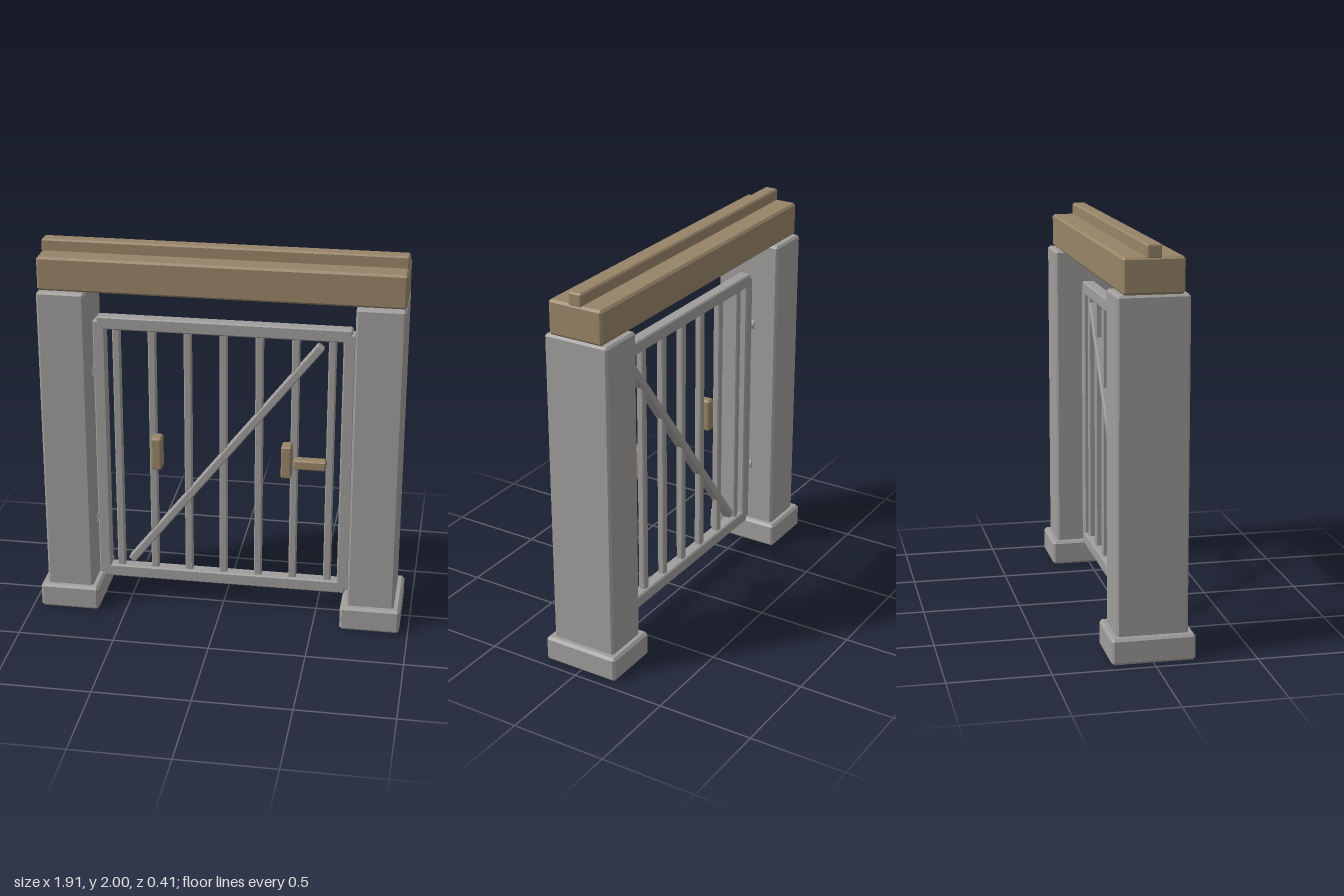
import * as THREE from 'three';
import { ConvexGeometry } from 'three/addons/geometries/ConvexGeometry.js';

// Box with chamfered edges, flat shaded
function chamferBox(w, h, d, b) {
  const pts = [];
  const [x, y, z] = [w / 2, h / 2, d / 2];
  for (const i of [-1, 1]) for (const j of [-1, 1]) for (const k of [-1, 1]) {
    pts.push(
      new THREE.Vector3(i * x, j * (y - b), k * (z - b)),
      new THREE.Vector3(i * (x - b), j * y, k * (z - b)),
      new THREE.Vector3(i * (x - b), j * (y - b), k * z)
    );
  }
  return new ConvexGeometry(pts);
}

export function createModel() {
  const model = new THREE.Group();
  model.name = 'gateway';
  const stone = new THREE.MeshStandardMaterial({ name: 'grey', color: 0x9e9d9b });
  const wood = new THREE.MeshStandardMaterial({ name: 'brown wood', color: 0x978468 });

  function add(parent, name, geometry, material, x, y, z) {
    const mesh = new THREE.Mesh(geometry, material);
    mesh.name = name;
    mesh.position.set(x, y, z);
    parent.add(mesh);
    return mesh;
  }
  // Box given by its limits on each axis
  function block(parent, name, material, [x0, x1], [y0, y1], [z0, z1], bevel) {
    return add(parent, name, chamferBox(x1 - x0, y1 - y0, z1 - z0, bevel), material,
      (x0 + x1) / 2, (y0 + y1) / 2, (z0 + z1) / 2);
  }

  // Posts on their plinths
  for (const [side, s] of [['left', 1], ['right', -1]]) {
    const post = new THREE.Group();
    post.name = side + 'Post';
    post.position.x = s * 0.799;
    model.add(post);
    block(post, 'plinth', stone, [-0.156, 0.156], [0, 0.132], [-0.206, 0.206], 0.013);
    block(post, 'shaft', stone, [-0.122, 0.122], [0.12, 1.766], [-0.175, 0.175], 0.011);
  }

  // Lintel with a ridge along its top
  block(model, 'lintel', wood, [-0.92, 0.92], [1.766, 1.94], [-0.148, 0.148], 0.011);
  block(model, 'lintelRidge', wood, [-0.918, 0.918], [1.93, 2], [-0.037, 0.037], 0.008);

  // Gate frame
  const gate = new THREE.Group();
  gate.name = 'gate';
  model.add(gate);
  const depth = [-0.033, 0.033];
  block(gate, 'topRail', stone, [-0.652, 0.652], [1.534, 1.602], depth, 0.007);
  block(gate, 'bottomRail', stone, [-0.652, 0.652], [0.12, 0.188], depth, 0.007);
  block(gate, 'leftStile', stone, [0.608, 0.671], [0.14, 1.58], depth, 0.007);
  block(gate, 'rightStile', stone, [-0.671, -0.608], [0.14, 1.58], depth, 0.007);

  // Upright bars
  for (let i = -3; i <= 3; i++) {
    block(gate, 'bar', stone, [i * 0.1845 - 0.02, i * 0.1845 + 0.02], [0.17, 1.55], [-0.019, 0.019], 0.006);
  }

  // Diagonal brace
  const rise = 1.28, run = 0.994;
  const brace = add(gate, 'brace', chamferBox(Math.hypot(rise, run), 0.042, 0.054, 0.006), stone, 0, 0.86, 0);
  brace.rotation.z = Math.atan2(rise, run);

  // Hinge pins beside the right post
  for (const y of [0.465, 1.305]) {
    const hinge = add(gate, 'hinge', new THREE.CylinderGeometry(0.03, 0.03, 0.09, 12), stone, -0.694, y, 0);
    hinge.rotation.x = Math.PI / 2;
  }

  // Handle plates and latch
  const plateY = [0.798, 0.975], plateZ = [0.02, 0.098];
  block(gate, 'latchPlate', wood, [0.31, 0.364], plateY, plateZ, 0.008);
  block(gate, 'handlePlate', wood, [-0.366, -0.312], plateY, plateZ, 0.008);
  block(gate, 'latchArm', wood, [0.375, 0.542], [0.852, 0.905], [0.042, 0.098], 0.008);

  return model;
}
